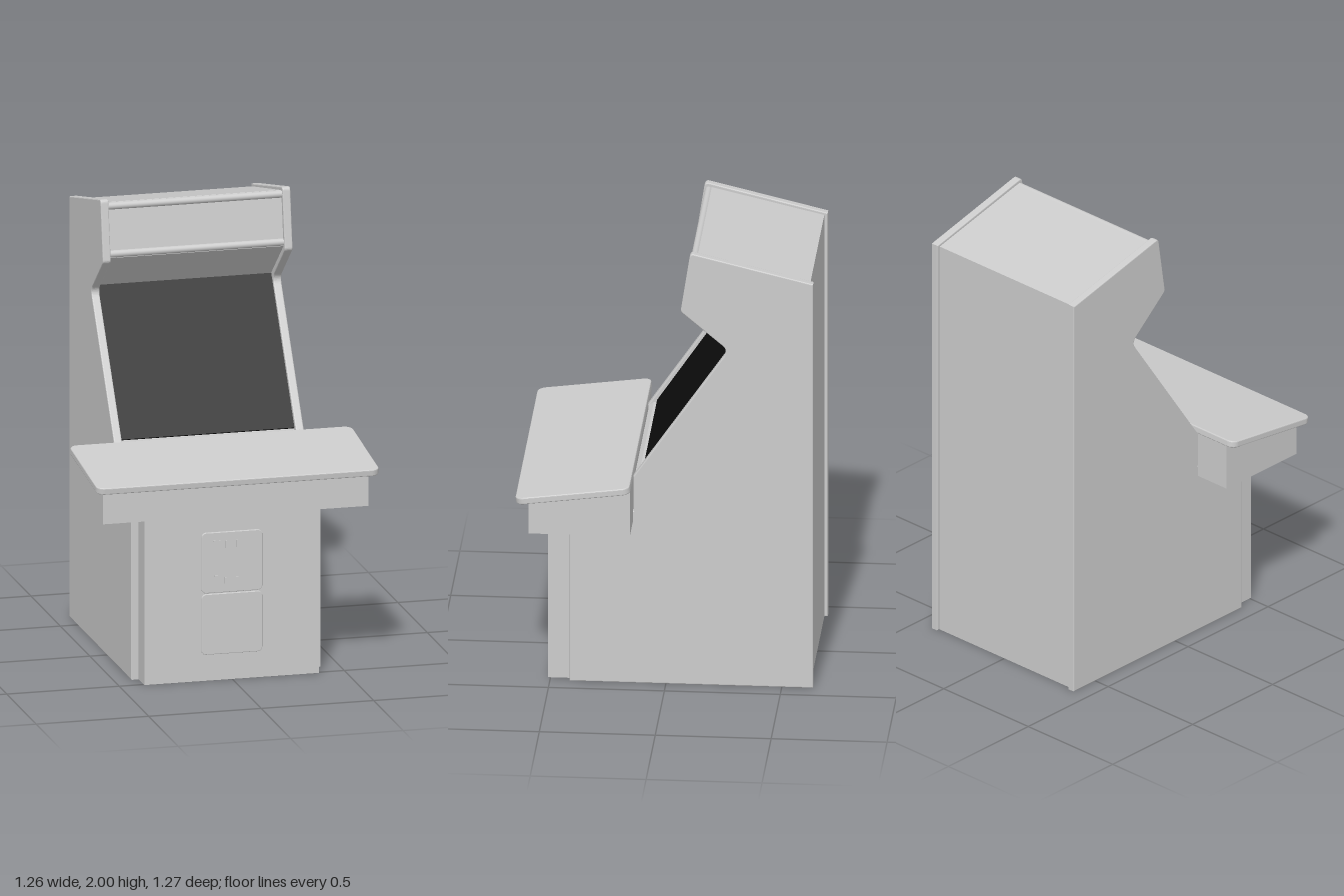
import * as THREE from 'three';

const grey = new THREE.MeshStandardMaterial({ color: 0xcccccc });
const black = new THREE.MeshStandardMaterial({ color: 0x0c0c0c });
const CX = -0.003; // cabinet centre line

// Extrude a [z, y] outline along x, centred on cx.
function extrudeAcross(shape, width, cx, bevel = 0) {
  const depth = width - 2 * bevel;
  const geo = new THREE.ExtrudeGeometry(shape, {
    depth, bevelEnabled: bevel > 0, bevelSize: bevel, bevelThickness: bevel,
    bevelOffset: -bevel, bevelSegments: 3, curveSegments: 8,
  });
  geo.translate(0, 0, -depth / 2);
  geo.rotateY(-Math.PI / 2);
  geo.translate(cx, 0, 0);
  return geo;
}

const outline = (pts) => new THREE.Shape(pts.map(([z, y]) => new THREE.Vector2(z, y)));

function roundedRect(w, h, r) {
  const s = new THREE.Shape();
  s.absarc(w / 2 - r, h / 2 - r, r, 0, Math.PI / 2);
  s.absarc(-w / 2 + r, h / 2 - r, r, Math.PI / 2, Math.PI);
  s.absarc(-w / 2 + r, -h / 2 + r, r, Math.PI, Math.PI * 1.5);
  s.absarc(w / 2 - r, -h / 2 + r, r, Math.PI * 1.5, Math.PI * 2);
  return s;
}

export function createModel() {
  const root = new THREE.Group();
  root.name = 'arcadeCabinet';
  const add = (name, geo, mat = grey, parent = root) => {
    const m = new THREE.Mesh(geo, mat);
    m.name = name;
    parent.add(m);
    return m;
  };
  const box = (name, x, y, z, w, h, d, parent = root) =>
    add(name, new THREE.BoxGeometry(w, h, d).translate(x, y, z), grey, parent);

  // Side panels with softly rounded edges
  const side = new THREE.Shape();
  side.moveTo(-0.635, 0);
  side.lineTo(0.415, 0);
  side.lineTo(0.415, 0.8);
  side.lineTo(0.14, 0.8);
  side.lineTo(0.14, 0.96);
  side.lineTo(-0.25, 1.53);
  side.quadraticCurveTo(-0.268, 1.557, -0.245, 1.578);
  side.lineTo(-0.075, 1.722);
  side.quadraticCurveTo(-0.062, 1.732, -0.065, 1.745);
  side.lineTo(-0.102, 1.985);
  side.quadraticCurveTo(-0.105, 2.003, -0.122, 2);
  side.lineTo(-0.635, 1.877);
  side.closePath();
  for (const [name, s] of [['leftSide', 1], ['rightSide', -1]]) {
    add(name, extrudeAcross(side, 0.036, CX + s * 0.404, 0.005));
  }

  // Body between the sides: back, roof, header, underside and base
  const body = outline([
    [-0.62, 0], [0.4, 0], [0.4, 0.8], [0.135, 0.8], [0.135, 0.96], [0.115, 0.975],
    [0.085, 0.975], [-0.3, 1.565], [-0.085, 1.745], [-0.12, 1.97],
    [-0.135, 1.982], [-0.62, 1.868],
  ]);
  add('body', extrudeAcross(body, 0.776, CX));

  // Screen glass lying on the sloped front
  const screen = outline([[0.08, 0.975], [0.101, 0.985], [-0.293, 1.57], [-0.31, 1.565]]);
  add('screen', extrudeAcross(screen, 0.774, CX), black);

  // Rounded retainers above and below the header panel
  for (const [name, z, y] of [['headerTopTrim', -0.121, 1.968], ['headerBottomTrim', -0.091, 1.762]]) {
    const bar = new THREE.CylinderGeometry(0.016, 0.016, 0.774, 16);
    bar.rotateZ(Math.PI / 2).translate(CX, y, z);
    add(name, bar);
  }

  // Front panel standing proud of the sides
  box('frontPanel', CX, 0.4, 0.45, 0.776, 0.8, 0.12);

  // Control panel housing with sloping top
  const housing = outline([[0.142, 0.75], [0.58, 0.75], [0.58, 0.908], [0.142, 0.965]]);
  add('controlHousing', extrudeAcross(housing, 1.18, CX));

  // Control deck: rounded slab tilted down towards the player
  const tilt = Math.atan2(0.063, 0.49);
  const deckGeo = new THREE.ExtrudeGeometry(roundedRect(1.256, 0.496, 0.036), {
    depth: 0.02, bevelEnabled: true, bevelSize: 0.005, bevelThickness: 0.005,
    bevelOffset: -0.005, bevelSegments: 3, curveSegments: 8,
  });
  deckGeo.translate(0, 0, -0.01).rotateX(-Math.PI / 2);
  const deck = add('controlDeck', deckGeo);
  deck.position.set(CX, 0.941, 0.387);
  deck.rotation.x = tilt;

  // Coin doors
  for (const [name, y] of [['coinDoor', 0.526], ['cashDoor', 0.252]]) {
    const g = new THREE.ExtrudeGeometry(roundedRect(0.27, 0.27, 0.02), {
      depth: 0.006, bevelEnabled: true, bevelSize: 0.003, bevelThickness: 0.003,
      bevelOffset: -0.003, bevelSegments: 2, curveSegments: 6,
    });
    add(name, g.translate(CX, y, 0.508));
  }

  // Small coin fittings
  const fittings = new THREE.Group();
  fittings.name = 'coinFittings';
  root.add(fittings);
  for (const x of [-0.03, 0.018]) {
    box('coinSlot', x, 0.607, 0.518, 0.006, 0.035, 0.014, fittings);
    box('coinReturn', x, 0.445, 0.517, 0.012, 0.028, 0.01, fittings);
  }
  box('slotPlate', -0.07, 0.622, 0.517, 0.03, 0.006, 0.008, fittings);
  box('returnPlate', -0.065, 0.465, 0.517, 0.03, 0.006, 0.008, fittings);

  return root;
}
